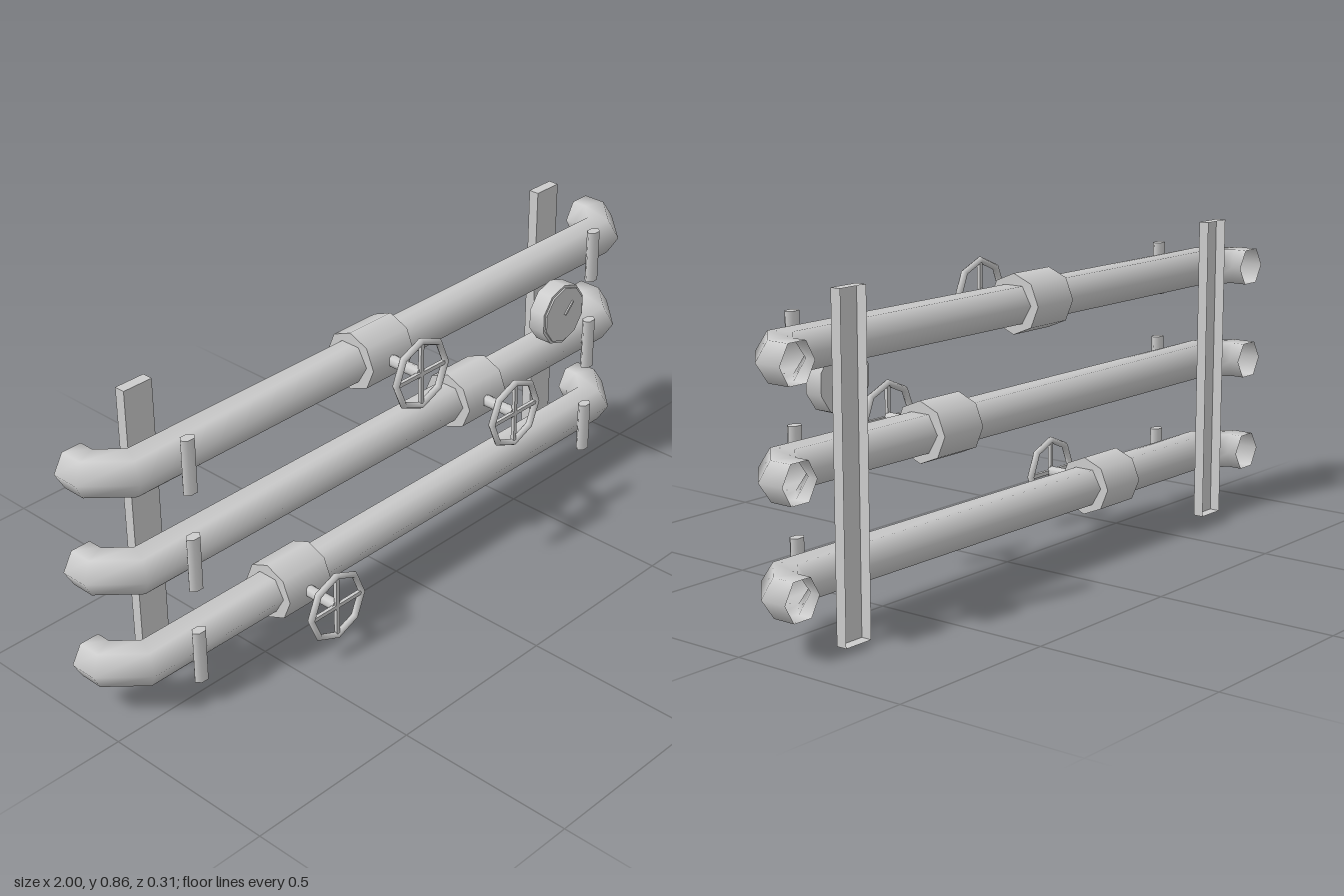
import * as THREE from 'three';

const PIPE_Z = -0.029;

// Hexagonal tube along a mitred path in the xz plane, open at both ends
function pipeGeometry(radius, sides) {
  const half = [[0.943, -0.155], [0.943, -0.102], [0.87, PIPE_Z]];
  const path = [...half, ...half.map(([x, z]) => [-x, z]).reverse()]
    .map(([x, z]) => new THREE.Vector2(x, z));
  const pos = [], index = [];
  path.forEach((p, j) => {
    const before = path[Math.max(j - 1, 0)], after = path[Math.min(j + 1, path.length - 1)];
    const a = p.clone().sub(before).normalize(), b = after.clone().sub(p).normalize();
    const dir = a.clone().add(b).normalize();
    const stretch = 1 / dir.dot(j ? a : b);
    for (let i = 0; i < sides; i++) {
      const t = (i / sides) * Math.PI * 2;
      const out = radius * stretch * Math.cos(t);
      pos.push(p.x + dir.y * out, radius * Math.sin(t), p.y - dir.x * out);
      if (j < path.length - 1) {
        const k = j * sides + i, n = j * sides + (i + 1) % sides;
        index.push(k, n, k + sides, n, n + sides, k + sides);
      }
    }
  });
  const g = new THREE.BufferGeometry();
  g.setAttribute('position', new THREE.Float32BufferAttribute(pos, 3));
  g.setIndex(index);
  g.computeVertexNormals();
  return g;
}

export function createModel() {
  const model = new THREE.Group();
  model.name = 'pipeRack';
  const metal = new THREE.MeshStandardMaterial({ color: 0xcccccc, side: THREE.DoubleSide });
  metal.name = 'light grey metal';

  const add = (parent, name, geometry, x = 0, y = 0, z = 0) => {
    const mesh = new THREE.Mesh(geometry, metal);
    mesh.name = name;
    mesh.position.set(x, y, z);
    parent.add(mesh);
    return mesh;
  };
  const cyl = (r, h, n) => new THREE.CylinderGeometry(r, r, h, n);

  // Valve: collar on the pipe, stem and four-spoked handwheel
  const addValve = (x, y) => {
    const valve = new THREE.Group();
    valve.name = 'valve';
    valve.position.set(x, y, 0);
    model.add(valve);
    add(valve, 'collar', cyl(0.081, 0.15, 8).rotateZ(Math.PI / 2), 0, 0, PIPE_Z);
    add(valve, 'stem', cyl(0.016, 0.1, 8).rotateX(Math.PI / 2), 0, 0, 0.095);
    add(valve, 'wheelRim', new THREE.TorusGeometry(0.092, 0.0095, 6, 8), 0, 0, 0.1455);
    add(valve, 'spokeAcross', new THREE.BoxGeometry(0.18, 0.011, 0.01), 0, 0, 0.146);
    add(valve, 'spokeUpright', new THREE.BoxGeometry(0.011, 0.18, 0.01), 0, 0, 0.146);
  };

  // Pipes, each with a valve and a short upright rod near either end
  const pipe = pipeGeometry(0.057, 6);
  const rod = cyl(0.022, 0.15, 6).rotateY(Math.PI / 2).scale(1, 1, 0.71);
  for (const [y, valveX] of [[0.154, -0.38], [0.43, 0.31], [0.706, -0.065]]) {
    add(model, 'pipe', pipe, 0, y, 0);
    addValve(valveX, y);
    for (const side of [-1, 1]) add(model, 'clampRod', rod, side * 0.757, y, 0.042);
  }

  // Uprights: shallow trays open at the back
  const upright = new THREE.BoxGeometry(0.087, 0.857, 0.03);
  upright.setIndex(Array.from(upright.index.array).slice(0, 30));
  upright.clearGroups();
  for (const side of [-1, 1]) add(model, 'upright', upright, side * 0.757, 0.4285, -0.14);

  // Pressure gauge
  const gauge = new THREE.Group();
  gauge.name = 'gauge';
  gauge.position.set(0.6, 0.592, 0);
  model.add(gauge);
  add(gauge, 'gaugeBody', cyl(0.0885, 0.05, 10).rotateX(Math.PI / 2), 0, 0, 0.047);
  add(gauge, 'gaugeFace', cyl(0.081, 0.006, 10).rotateX(Math.PI / 2), 0, 0, 0.074);
  add(gauge, 'gaugeStem', cyl(0.018, 0.075, 8), 0, -0.024, 0.008);
  const needle = add(gauge, 'needle', new THREE.BoxGeometry(0.045, 0.006, 0.005), 0.016, 0.016, 0.079);
  needle.rotation.z = Math.PI / 4;

  return model;
}
